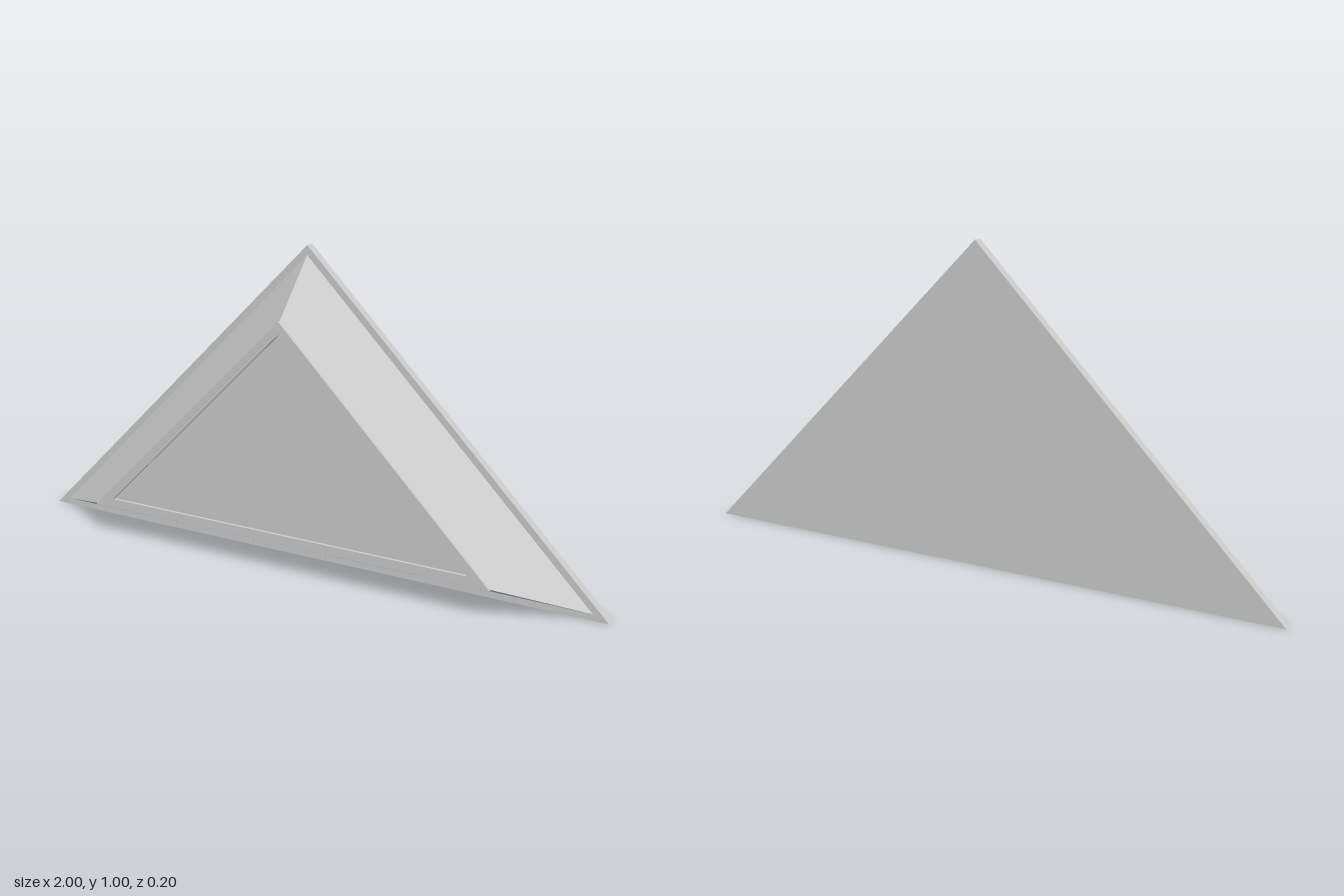
import * as THREE from 'three';

const material = new THREE.MeshStandardMaterial({ color: 0xcccccc, flatShading: true });

// Triangle given by half width, base height and apex height, counter-clockwise from the front
const triangle = (half, base, apex) => [[-half, base], [half, base], [0, apex]];
const toPoints = (corners) => corners.map(([x, y]) => new THREE.Vector2(x, y));

// Flat triangular slab from z0 to z1, with an optional triangular opening
function slab(name, outer, z0, z1, opening) {
  const shape = new THREE.Shape(toPoints(outer));
  if (opening) shape.holes.push(new THREE.Path(toPoints(opening)));
  const geometry = new THREE.ExtrudeGeometry(shape, { depth: z1 - z0, bevelEnabled: false });
  geometry.translate(0, 0, z0);
  const mesh = new THREE.Mesh(geometry, material);
  mesh.name = name;
  return mesh;
}

// Closed solid tapering from a rear triangle to a front triangle
function taper(name, rear, zRear, front, zFront) {
  const positions = [...rear.map((p) => [...p, zRear]), ...front.map((p) => [...p, zFront])].flat();
  const index = [0, 2, 1, 3, 4, 5];
  for (let i = 0; i < 3; i++) {
    const j = (i + 1) % 3;
    index.push(i, j, j + 3, i, j + 3, i + 3);
  }
  const indexed = new THREE.BufferGeometry();
  indexed.setAttribute('position', new THREE.Float32BufferAttribute(positions, 3));
  indexed.setIndex(index);
  const geometry = indexed.toNonIndexed();
  geometry.computeVertexNormals();
  const mesh = new THREE.Mesh(geometry, material);
  mesh.name = name;
  return mesh;
}

export function createModel() {
  const model = new THREE.Group();
  model.name = 'triangularPanel';
  const face = triangle(0.7, 0.1, 0.8);

  model.add(
    // Thin plate at the back
    slab('backPlate', triangle(1, 0, 1), -0.1, -0.07),
    // Sloping body, whose front is the floor of the recess
    taper('slopedBody', triangle(0.95, 0.02, 0.97), -0.07, face, 0.09),
    // Shallow rim around the recessed front panel
    slab('frontRim', face, 0.09, 0.1, triangle(0.63, 0.13, 0.76)),
  );
  return model;
}
